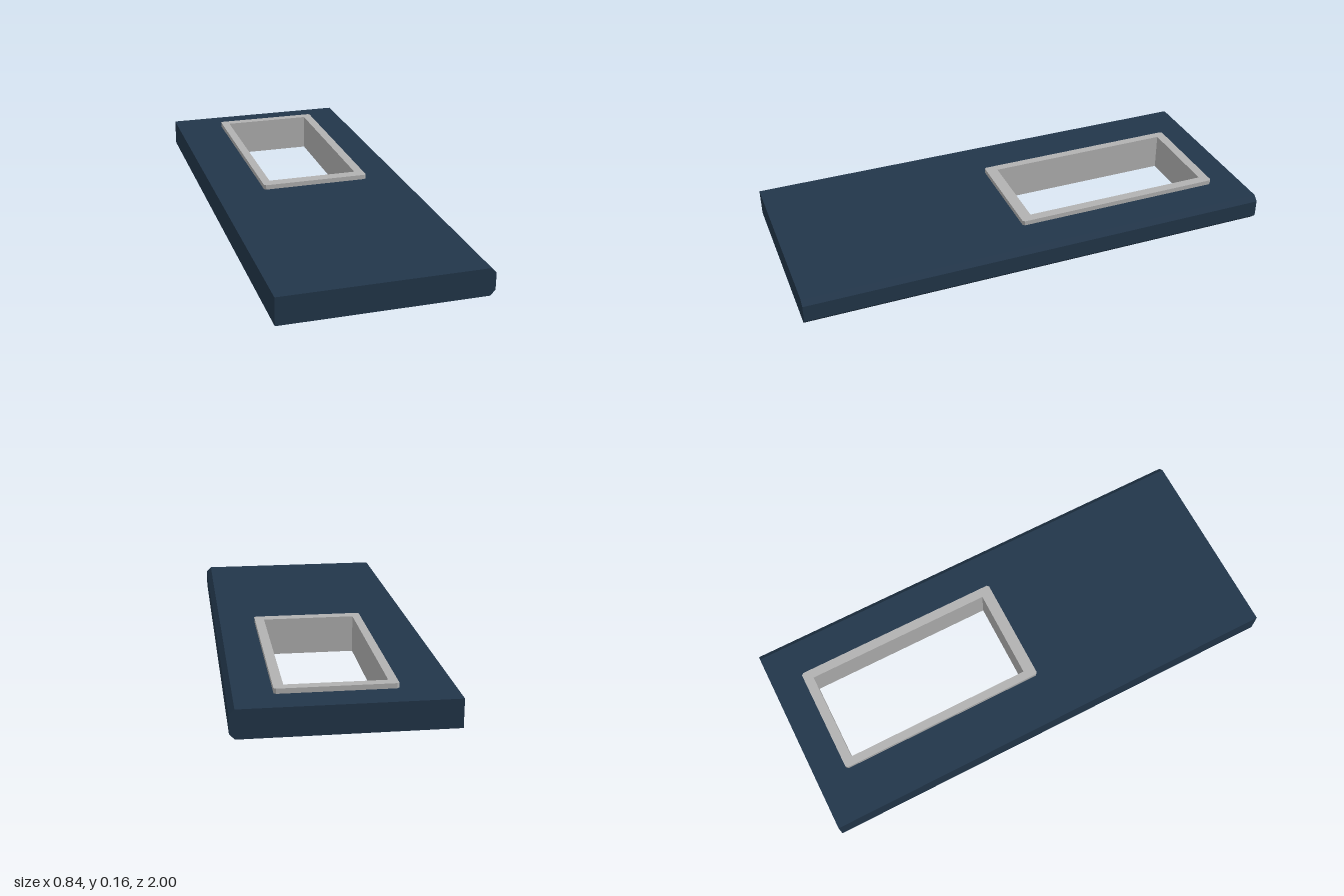
import * as THREE from 'three';

const BOTTOM = 0.026, TOP = 0.139, CHAMFER = 0.021, EDGE = 0.42;

// Rectangle outline in plan (x, -z), with optional cut corners
function plan(Type, x0, x1, z0, z1, c = 0) {
  const a = -z1, b = -z0;
  const corners = c
    ? [[x0 + c, a], [x1 - c, a], [x1, a + c], [x1, b - c], [x1 - c, b], [x0 + c, b], [x0, b - c], [x0, a + c]]
    : [[x0, a], [x1, a], [x1, b], [x0, b]];
  return new Type(corners.map(([x, y]) => new THREE.Vector2(x, y)));
}

function extrudeUp(shape, depth, steps = 1) {
  return new THREE.ExtrudeGeometry(shape, { depth, steps, bevelEnabled: false }).rotateX(-Math.PI / 2);
}

export function createModel() {
  const model = new THREE.Group();
  model.name = 'doorPanel';

  const panelPaint = new THREE.MeshStandardMaterial({ color: 0x22364a });
  panelPaint.name = 'dark blue paint';
  const frameMetal = new THREE.MeshStandardMaterial({ color: 0xb2b2b2 });
  frameMetal.name = 'light grey metal';

  // Panel: slab with a window opening, +x long edge chamfered above and below
  const outline = plan(THREE.Shape, -EDGE, EDGE, -1, 1);
  outline.holes.push(plan(THREE.Path, -0.195, 0.23, -0.848, 0.004));
  const slab = extrudeUp(outline, 3, 3);
  const levels = [BOTTOM, BOTTOM + CHAMFER, TOP - CHAMFER, TOP];
  const pos = slab.attributes.position;
  for (let i = 0; i < pos.count; i++) {
    const level = Math.round(pos.getY(i));
    const outerFace = level === 0 || level === 3;
    if (outerFace && pos.getX(i) > EDGE - 0.001) pos.setX(i, EDGE - CHAMFER);
    pos.setY(i, levels[level]);
  }
  slab.computeVertexNormals();
  const panel = new THREE.Mesh(slab, panelPaint);
  panel.name = 'panel';
  model.add(panel);

  // Window frame: ring passing through the panel, proud on both faces
  const ring = plan(THREE.Shape, -0.211, 0.25, -0.868, 0.027, 0.008);
  ring.holes.push(plan(THREE.Path, -0.176, 0.211, -0.828, -0.022));
  const frame = new THREE.Mesh(extrudeUp(ring, 0.159), frameMetal);
  frame.name = 'windowFrame';
  model.add(frame);

  return model;
}
